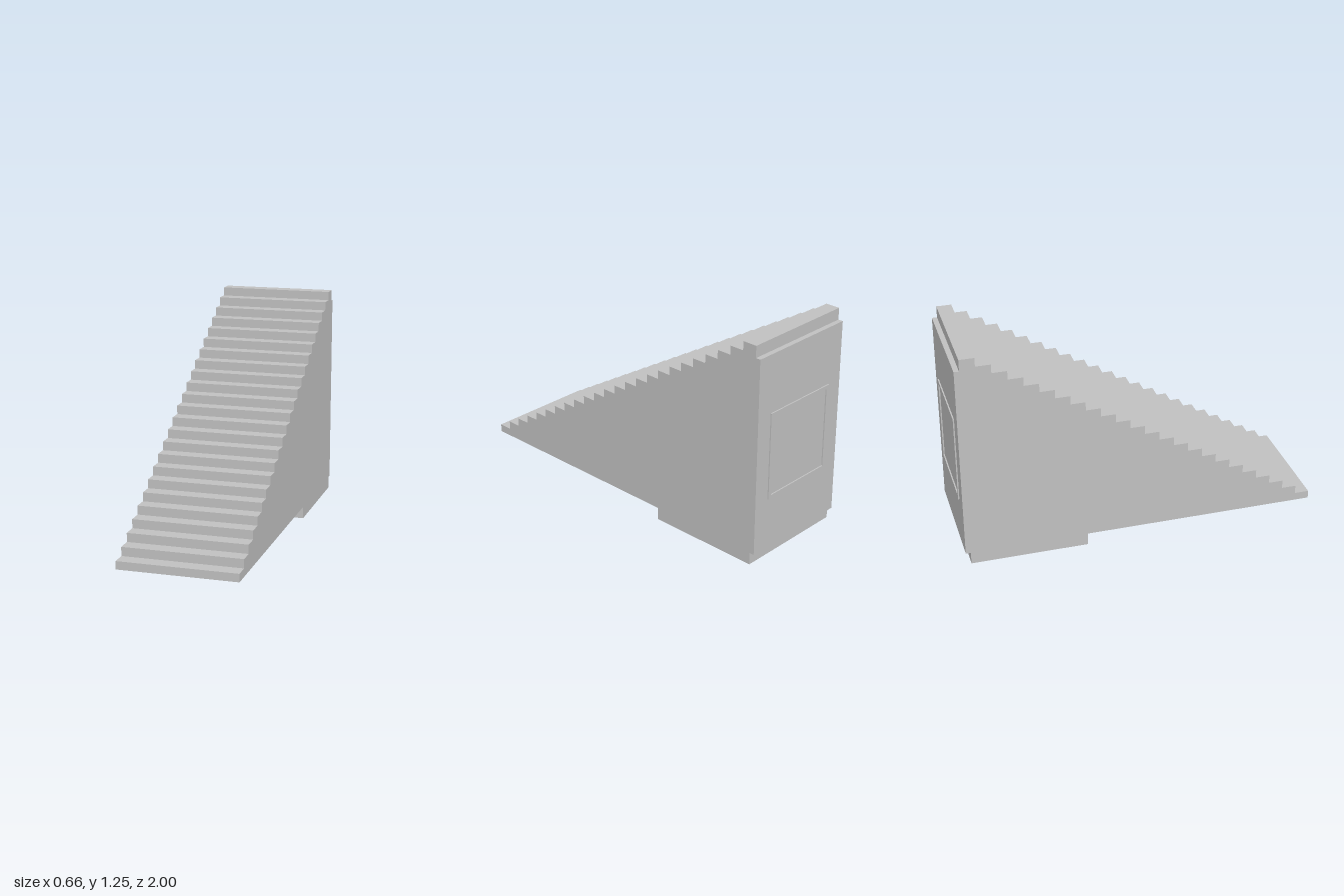
import * as THREE from 'three';

const WIDTH = 0.656, STEPS = 24;
const FRONT = 1, BACK = -0.965, UNDERSIDE = 0.07, TOP = 1.245;
const FIRST_TREAD = 0.115, FOOT_FRONT = -0.31;

export function createModel() {
  const group = new THREE.Group();
  const grey = new THREE.MeshStandardMaterial({ color: 0xc0c0c0 });
  grey.name = 'light grey';

  const add = (name, geometry) => {
    const mesh = new THREE.Mesh(geometry, grey);
    mesh.name = name;
    group.add(mesh);
    return mesh;
  };

  // Stepped side profile with its foot, drawn as (-z, y) and extruded across the width
  const profile = new THREE.Shape();
  profile.moveTo(-FRONT, UNDERSIDE);
  profile.lineTo(-FOOT_FRONT, UNDERSIDE);
  profile.lineTo(-FOOT_FRONT, 0);
  profile.lineTo(-BACK, 0);
  profile.lineTo(-BACK, TOP);
  const depth = (FRONT - BACK) / STEPS;
  const rise = (TOP - FIRST_TREAD) / (STEPS - 1);
  for (let i = STEPS - 1; i >= 0; i--) {
    const nose = -FRONT + i * depth;
    profile.lineTo(nose, FIRST_TREAD + i * rise);
    if (i > 0) profile.lineTo(nose, FIRST_TREAD + (i - 1) * rise);
  }
  profile.closePath();
  const stairs = new THREE.ExtrudeGeometry(profile, { depth: WIDTH, bevelEnabled: false });
  stairs.translate(0, 0, -WIDTH / 2).rotateY(Math.PI / 2);
  add('staircase', stairs);

  // Back wall panel
  add('backPanel', new THREE.BoxGeometry(WIDTH, 1.11, 0.028)).position.set(0, 0.625, -0.979);

  // Thin raised rim around the rear hatch
  const rectangle = (target, x, y0, y1) => {
    target.moveTo(-x, y0);
    target.lineTo(x, y0);
    target.lineTo(x, y1);
    target.lineTo(-x, y1);
    target.closePath();
    return target;
  };
  const rim = rectangle(new THREE.Shape(), 0.233, 0.362, 0.855);
  rim.holes.push(rectangle(new THREE.Path(), 0.213, 0.382, 0.835));
  add('hatchRim', new THREE.ExtrudeGeometry(rim, { depth: 0.007, bevelEnabled: false }))
    .position.z = -1;

  return group;
}
